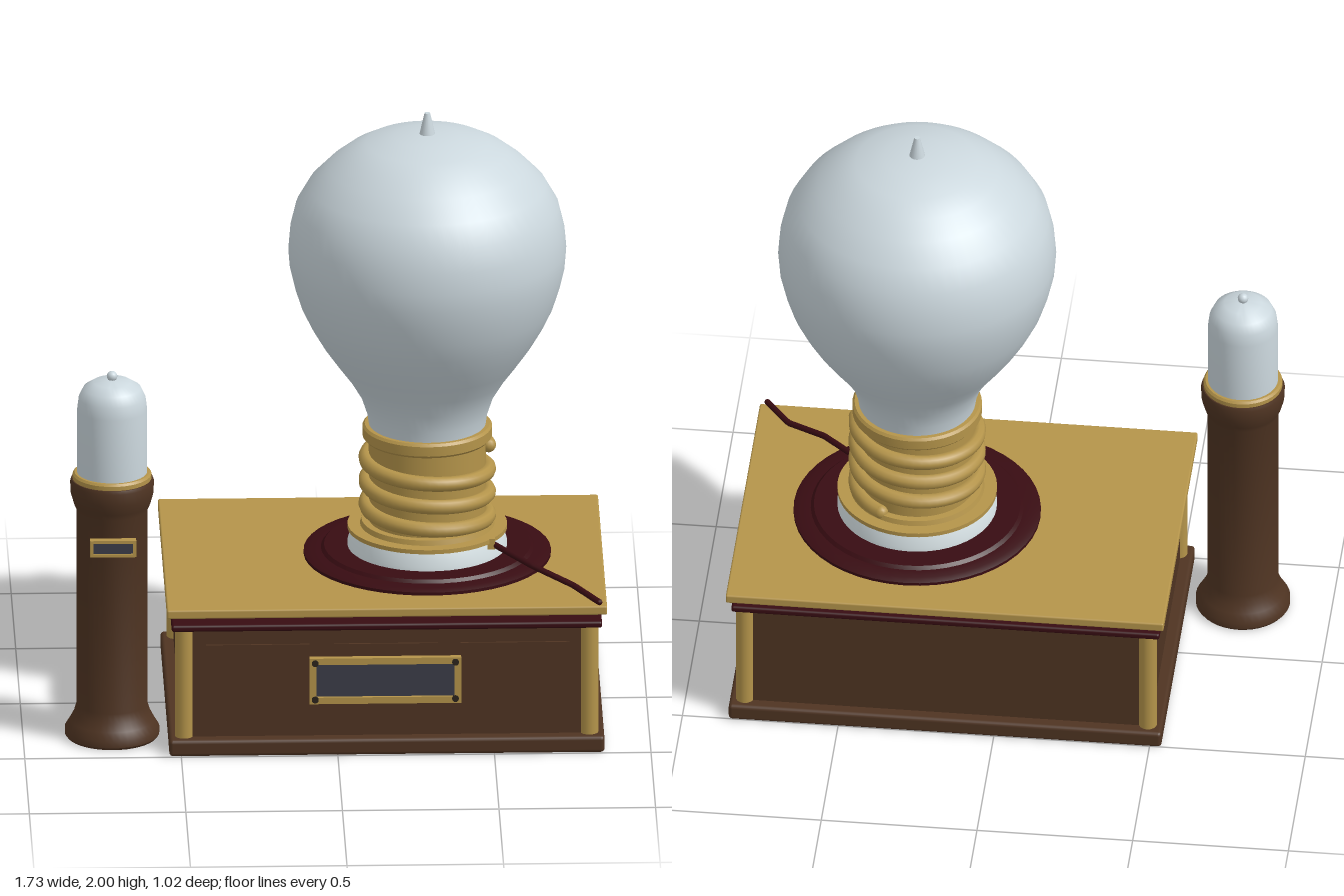
import * as THREE from 'three';
import { toCreasedNormals } from 'three/addons/utils/BufferGeometryUtils.js';
import { RoundedBoxGeometry } from 'three/addons/geometries/RoundedBoxGeometry.js';

const makeMat = (name, color, side = THREE.FrontSide) => {
  const m = new THREE.MeshStandardMaterial({ color, side });
  m.name = name;
  return m;
};

export function createModel() {
  const brass = makeMat('brass', 0xb4944a);
  const wood = makeMat('walnut', 0x4f3422);
  const oxblood = makeMat('oxblood', 0x380c12);
  const glass = makeMat('frosted glass', 0xcbd7dd);
  const porcelain = makeMat('porcelain', 0xdbe6e9);
  const slate = makeMat('slate', 0x3c3d49);
  const iron = makeMat('dark iron', 0x2b241c);

  const root = new THREE.Group();
  root.name = 'bulbOnCabinet';
  const group = (name, x = 0, y = 0, z = 0) => {
    const g = new THREE.Group();
    g.name = name;
    g.position.set(x, y, z);
    root.add(g);
    return g;
  };
  const add = (parent, name, geo, mat, x = 0, y = 0, z = 0) => {
    const m = new THREE.Mesh(geo, mat);
    m.name = name;
    m.position.set(x, y, z);
    parent.add(m);
    return m;
  };
  const box = (w, h, d, r = 0) => r ? new RoundedBoxGeometry(w, h, d, 2, r) : new THREE.BoxGeometry(w, h, d);
  // Turned part: profile of [radius, height], from the bottom up
  const turned = (pts, seg = 48, crease = 0.6) =>
    toCreasedNormals(new THREE.LatheGeometry(pts.map(([r, y]) => new THREE.Vector2(r, y)), seg), crease);
  // Rectangular frame facing +z
  const frame = (w, h, t, depth) => {
    const rect = (P, a, b) => {
      const p = new P();
      p.moveTo(-a, -b); p.lineTo(a, -b); p.lineTo(a, b); p.lineTo(-a, b); p.closePath();
      return p;
    };
    const s = rect(THREE.Shape, w / 2, h / 2);
    s.holes.push(rect(THREE.Path, w / 2 - t, h / 2 - t));
    return new THREE.ExtrudeGeometry(s, { depth, bevelEnabled: false });
  };

  // Cabinet
  const cabinet = group('cabinet', 0.157, 0, -0.003);
  add(cabinet, 'plinth', box(1.39, 0.055, 1.005, 0.012), wood, 0, 0.0275, 0);
  add(cabinet, 'cabinetBody', box(1.31, 0.37, 0.925), wood, 0, 0.24, 0);
  add(cabinet, 'moulding', box(1.375, 0.022, 0.975, 0.008), oxblood, 0, 0.43, 0);
  add(cabinet, 'topPlate', box(1.406, 0.03, 1.02, 0.006), brass, 0, 0.487, 0);
  for (const sx of [-1, 1]) for (const sz of [-1, 1])
    add(cabinet, 'cornerPost', new THREE.CylinderGeometry(0.029, 0.029, 0.365, 16), brass, sx * 0.647, 0.2375, sz * 0.453);

  // Drawer panels on the front
  for (const [x0, x1] of [[-0.42, -0.09], [-0.012, 0.32], [0.393, 0.74]])
    add(cabinet, 'frontPanel', box(x1 - x0, 0.245, 0.01), wood, (x0 + x1) / 2 - 0.157, 0.245, 0.464);

  // Framed plate with corner screws
  const plate = group('namePlate', 0.152, 0.248, 0.466);
  add(plate, 'plateFrame', frame(0.485, 0.155, 0.022, 0.02), brass);
  add(plate, 'plateFace', box(0.45, 0.12, 0.01), slate, 0, 0, 0.005);
  for (const sx of [-1, 1]) for (const sy of [-1, 1]) {
    const screw = add(plate, 'screw', new THREE.CylinderGeometry(0.011, 0.011, 0.008, 12), iron, sx * 0.224, sy * 0.062, 0.021);
    screw.rotation.x = Math.PI / 2;
  }

  // Lamp socket
  const lamp = group('lamp', 0.3, 0, -0.002);
  add(lamp, 'footDisc', turned([[0, 0.498], [0.395, 0.498], [0.395, 0.512], [0.375, 0.52], [0.34, 0.522], [0.33, 0.532], [0, 0.532]]), oxblood);
  add(lamp, 'insulator', turned([[0, 0.52], [0.255, 0.52], [0.255, 0.545], [0.24, 0.592], [0, 0.592]]), porcelain);
  add(lamp, 'socketRim', turned([[0, 0.59], [0.255, 0.59], [0.255, 0.604], [0.215, 0.604], [0.21, 0.62], [0, 0.62]]), brass);
  add(lamp, 'socketSleeve', new THREE.CylinderGeometry(0.187, 0.187, 0.32, 48), brass, 0, 0.755, 0);
  add(lamp, 'socketCollar', turned([[0, 0.897], [0.2, 0.897], [0.207, 0.905], [0.207, 0.937], [0.2, 0.945], [0, 0.945]]), brass);
  const contact = add(lamp, 'bottomContact', new THREE.SphereGeometry(0.07, 24, 12), brass, 0, 0.478, 0);
  contact.scale.y = 0.4;

  // Screw thread winding down the sleeve
  const turns = 3.2, threadPts = [];
  for (let i = 0; i <= turns * 24; i++) {
    const a = (i / 24) * Math.PI * 2;
    threadPts.push(new THREE.Vector3(0.196 * Math.cos(a), 0.866 - 0.078 * i / 24, -0.196 * Math.sin(a)));
  }
  const threadCurve = new THREE.CatmullRomCurve3(threadPts);
  add(lamp, 'screwThread', new THREE.TubeGeometry(threadCurve, 160, 0.024, 10), brass);
  for (const p of [threadPts[0], threadPts[threadPts.length - 1]])
    add(lamp, 'threadEnd', new THREE.SphereGeometry(0.024, 12, 8), brass, p.x, p.y, p.z);

  // Glass bulb and its sealed tip
  add(lamp, 'bulb', turned([[0, 0.94], [0.186, 0.94], [0.192, 0.98], [0.212, 1.04], [0.248, 1.1], [0.29, 1.157], [0.334, 1.22],
    [0.372, 1.285], [0.403, 1.35], [0.425, 1.42], [0.439, 1.48], [0.444, 1.54], [0.438, 1.61], [0.42, 1.685], [0.379, 1.757],
    [0.318, 1.82], [0.258, 1.867], [0.196, 1.9], [0.106, 1.922], [0, 1.932]], 56, 0.9), glass);
  add(lamp, 'bulbTip', new THREE.CylinderGeometry(0.009, 0.026, 0.075, 16), glass, 0, 1.9625, 0);

  // Lead wire from the socket to the front corner
  const wire = new THREE.CurvePath();
  const wirePts = [[0.5, 0.585, 0.14], [0.63, 0.558, 0.285], [0.755, 0.528, 0.38], [0.835, 0.514, 0.5]].map(p => new THREE.Vector3(...p));
  for (let i = 0; i < 3; i++) wire.add(new THREE.LineCurve3(wirePts[i], wirePts[i + 1]));
  add(root, 'leadWire', new THREE.TubeGeometry(wire, 30, 0.01, 8), oxblood);
  for (const p of [wirePts[0], wirePts[3]])
    add(root, 'wireEnd', new THREE.SphereGeometry(0.01, 8, 6), oxblood, p.x, p.y, p.z);
  add(root, 'wireTerminal', box(0.024, 0.035, 0.024), brass, 0.5, 0.588, 0.15);

  // Free-standing tube with a small capped bulb
  const tube = group('standingTube', -0.715, 0, 0.285);
  add(tube, 'tubeBody', turned([[0, 0], [0.145, 0], [0.151, 0.008], [0.151, 0.028], [0.135, 0.055], [0.122, 0.08], [0.113, 0.11],
    [0.113, 0.77], [0.122, 0.79], [0.132, 0.825], [0.134, 0.865], [0.13, 0.876], [0, 0.876]], 40), wood);
  add(tube, 'tubeCollar', turned([[0, 0.87], [0.126, 0.87], [0.126, 0.89], [0.12, 0.897], [0, 0.897]], 40), brass);
  add(tube, 'tubeBulb', turned([[0, 0.89], [0.112, 0.89], [0.112, 1.11], [0.107, 1.15], [0.092, 1.182], [0.06, 1.203], [0, 1.212]], 40), glass);
  add(tube, 'tubeBulbTip', new THREE.SphereGeometry(0.017, 16, 10), glass, 0, 1.221, 0);
  add(tube, 'tubePlateFrame', frame(0.147, 0.056, 0.01, 0.026), brass, 0, 0.681, 0.108);
  add(tube, 'tubePlateFace', box(0.135, 0.044, 0.009), slate, 0, 0.681, 0.124);

  return root;
}
